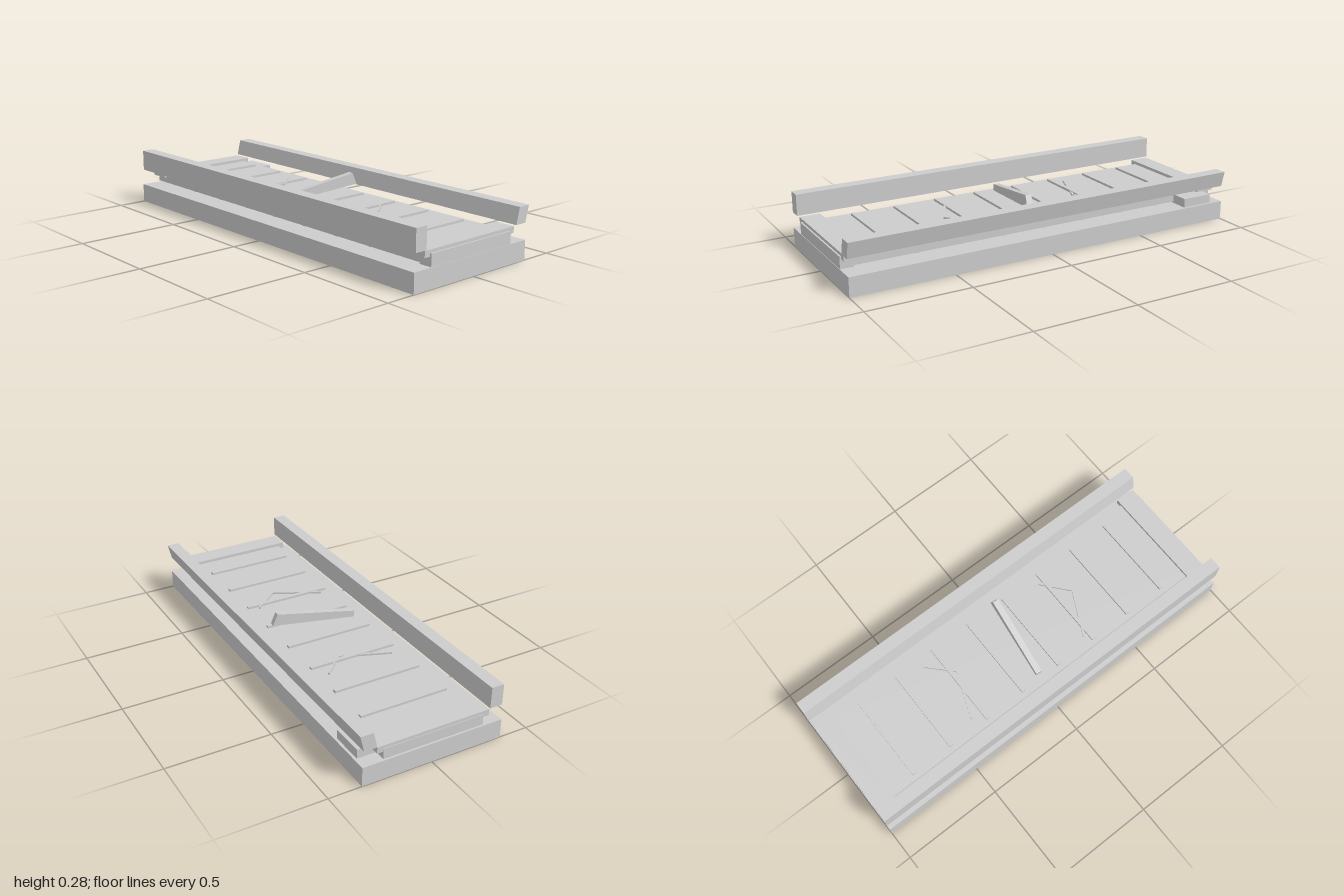
import * as THREE from 'three';

export function createModel() {
  const model = new THREE.Group();
  const material = new THREE.MeshStandardMaterial({ color: 0xcccccc, flatShading: true });

  function add(name, geometry) {
    const mesh = new THREE.Mesh(geometry, material);
    mesh.name = name;
    model.add(mesh);
    return mesh;
  }

  // Box given by its limits on each axis
  function block(name, [x0, x1], [y0, y1], [z0, z1]) {
    const mesh = add(name, new THREE.BoxGeometry(x1 - x0, y1 - y0, z1 - z0));
    mesh.position.set((x0 + x1) / 2, (y0 + y1) / 2, (z0 + z1) / 2);
    return mesh;
  }

  // Outline in x and y, extruded along z and centred on z = 0
  function prism(name, points, depth) {
    const shape = new THREE.Shape(points.map(([x, y]) => new THREE.Vector2(x, y)));
    const geometry = new THREE.ExtrudeGeometry(shape, { depth, bevelEnabled: false });
    return add(name, geometry.translate(0, 0, -depth / 2));
  }

  // Base slab and deck
  block('base', [-0.357, 0.342], [0, 0.093], [-1, 1]);
  block('deck', [-0.257, 0.242], [0.1, 0.151], [-0.998, 0.998]);

  // Side rails: the left one leans outwards
  block('rightRail', [-0.351, -0.289], [0.172, 0.275], [-1, 1]);
  prism('leftRail', [[0.274, 0.172], [0.336, 0.172], [0.355, 0.25], [0.293, 0.25]], 2);

  // Cross beams at both ends
  block('frontBeam', [-0.288, 0.271], [0.136, 0.166], [0.89, 0.99]);
  block('backBeam', [-0.288, 0.271], [0.136, 0.166], [-0.995, -0.9]);

  // Supports between base and deck
  block('frontCleat', [-0.257, 0.242], [0.093, 0.101], [0.935, 0.998]);
  block('sideBlock', [0.2, 0.329], [0.093, 0.137], [-0.935, -0.775]);
  for (let i = 0; i < 7; i++) {
    const z = 0.63 - i * 0.217;
    block('underSlat', [-0.245, 0.23], [0.093, 0.103], [z - 0.008, z + 0.008]);
  }

  // Raised slats across the deck
  for (let i = 0; i < 8; i++) {
    const z = -0.76 + i * 0.2157;
    block('slat', [-0.23, 0.21], [0.15, 0.162], [z - 0.01, z + 0.01]);
  }

  // Thin bent cracks lying on the deck
  function crack(points) {
    const half = 0.006;
    const edge = (side) => points.map(([x, z]) => new THREE.Vector2(x, -z + side * half));
    const shape = new THREE.Shape([...edge(-1), ...edge(1).reverse()]);
    const geometry = new THREE.ExtrudeGeometry(shape, { depth: 0.01, bevelEnabled: false });
    add('crack', geometry.rotateX(-Math.PI / 2)).position.y = 0.15;
  }
  crack([[-0.185, -0.39], [0.046, -0.3], [0.16, -0.41]]);
  crack([[-0.19, 0.29], [0.03, 0.4], [0.16, 0.29]]);

  // Loose tapered plank resting askew
  const plank = prism('loosePlank', [[-0.21, 0.192], [-0.207, 0.16], [0.214, 0.197], [0.19, 0.254]], 0.03);
  plank.rotation.y = -0.12;
  plank.position.z = 0.02;

  return model;
}
